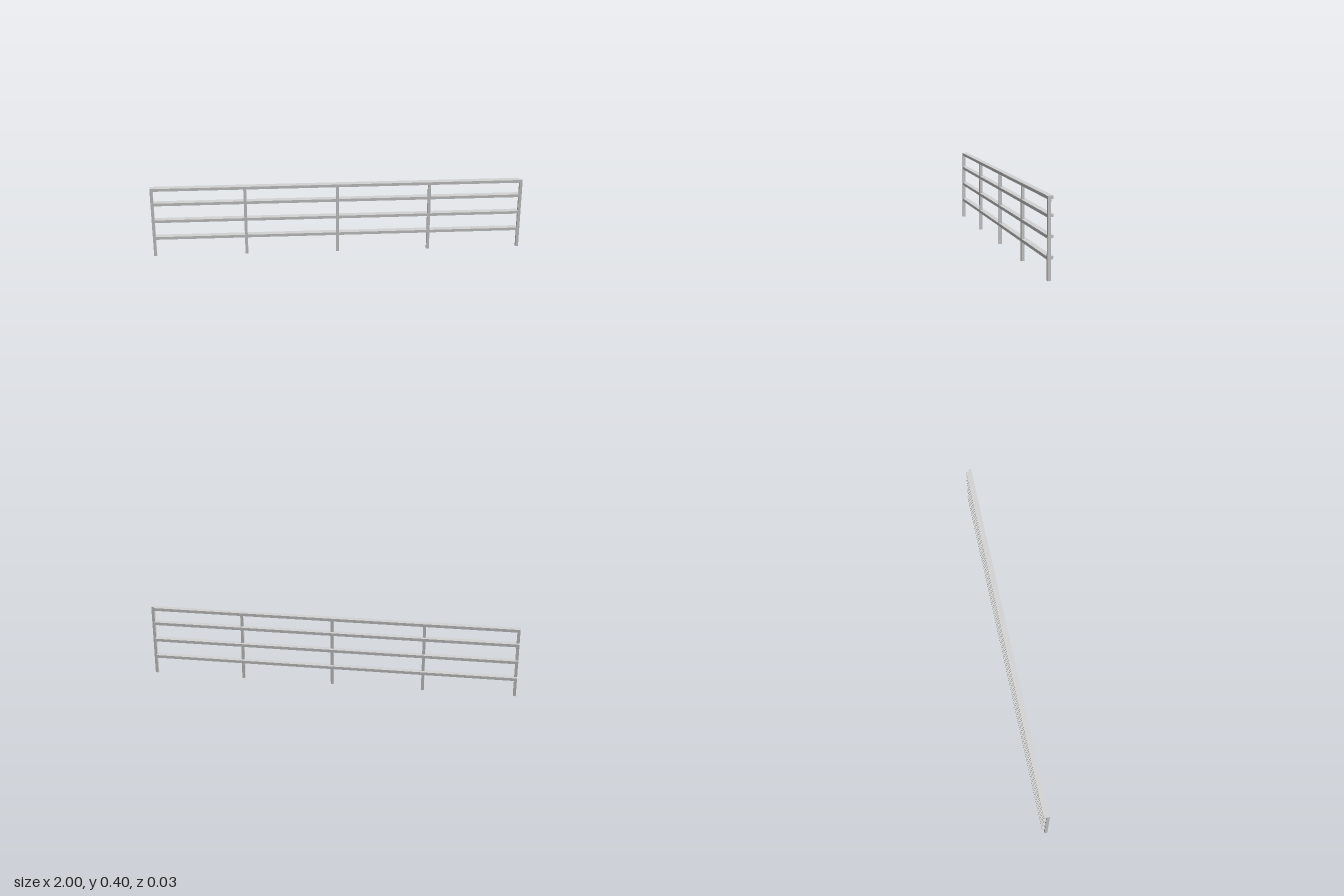
import * as THREE from 'three';

export function createModel() {
  const fence = new THREE.Group();
  fence.name = 'railFence';
  const steel = new THREE.MeshStandardMaterial({ color: 0xd4d4d4 });
  steel.name = 'greySteel';

  const T = 0.0157;      // square bar thickness
  const H = 0.399;       // fence height
  const bar = (name, w, h, x, y, z) => {
    const mesh = new THREE.Mesh(new THREE.BoxGeometry(w, h, T), steel);
    mesh.name = name;
    mesh.position.set(x, y, z);
    fence.add(mesh);
  };

  // five evenly spaced posts; the middle three stop under the top rail
  const step = (2 - T) / 4;
  const postX = (i) => -1 + T / 2 + i * step;
  for (let i = 0; i < 5; i++) {
    const h = i === 0 || i === 4 ? H : H - T;
    bar('post' + (i + 1), T, h, postX(i), h / 2, T / 2);
  }

  // back rails run behind the posts and stop short of the last one
  const railY = [0.107, 0.207, 0.306, H - T / 2];
  railY.forEach((y, i) => bar('backRail' + (i + 1), 2 - T, T, -T / 2, y, -T / 2));

  // lower front rails fill the bays between posts
  railY.slice(0, 3).forEach((y, i) => {
    for (let bay = 0; bay < 4; bay++) {
      bar(`frontRail${i + 1}Bay${bay + 1}`, step - T, T, postX(bay + 0.5), y, T / 2);
    }
  });

  // top front rail lies across the middle posts, between the end posts
  bar('topFrontRail', 2 - 2 * T, T, 0, railY[3], T / 2);

  return fence;
}
